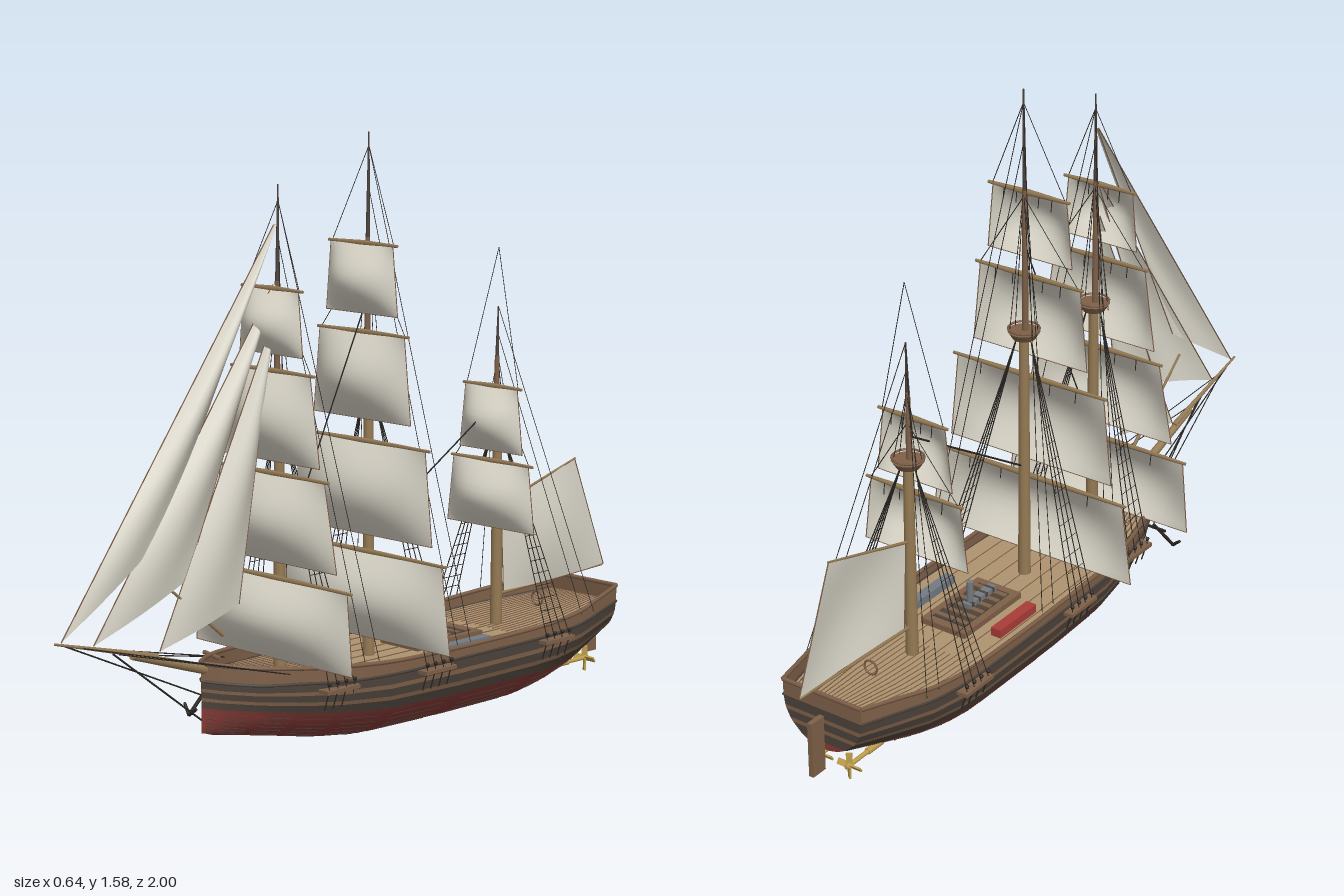
import * as THREE from 'three';
import { mergeGeometries, toCreasedNormals } from 'three/addons/utils/BufferGeometryUtils.js';

const mat = (name, color, side = THREE.FrontSide) => {
  const m = new THREE.MeshStandardMaterial({ color, side });
  m.name = name;
  return m;
};
const V = (x, y, z) => new THREE.Vector3(x, y, z);
const lerp = THREE.MathUtils.lerp;

// Surface from a rule p(u, v, row), with u and v running from 0 to 1
function grid(nu, nv, p) {
  const pos = [], idx = [];
  for (let i = 0; i <= nu; i++) for (let j = 0; j <= nv; j++) pos.push(...p(i / nu, j / nv, i));
  for (let i = 0; i < nu; i++) for (let j = 0; j < nv; j++) {
    const a = i * (nv + 1) + j, b = a + nv + 1;
    idx.push(a, b, a + 1, b, b + 1, a + 1);
  }
  const g = new THREE.BufferGeometry();
  g.setAttribute('position', new THREE.Float32BufferAttribute(pos, 3));
  g.setIndex(idx);
  g.computeVertexNormals();
  return g;
}

// Tapered round rod between two points
function rod(a, b, r0, r1 = r0, sides = 4) {
  const d = b.clone().sub(a);
  const g = new THREE.CylinderGeometry(r1, r0, d.length(), sides);
  g.applyQuaternion(new THREE.Quaternion().setFromUnitVectors(V(0, 1, 0), d.normalize()));
  return g.translate((a.x + b.x) / 2, (a.y + b.y) / 2, (a.z + b.z) / 2);
}

// Hull stations: z, keel, paint line, deck line, sheer, half width
const ST = [
  [0.535, 0.10, 0.165, 0.235, 0.28, 0], [0.53, 0.10, 0.165, 0.235, 0.28, 0.006],
  [0.50, 0.09, 0.16, 0.23, 0.275, 0.038], [0.42, 0.075, 0.15, 0.22, 0.265, 0.098],
  [0.32, 0.055, 0.135, 0.215, 0.255, 0.142], [0.2, 0.03, 0.12, 0.205, 0.245, 0.174],
  [0.05, 0.01, 0.105, 0.2, 0.235, 0.193], [-0.2, 0.005, 0.098, 0.2, 0.23, 0.198],
  [-0.5, 0.005, 0.098, 0.2, 0.232, 0.198], [-0.6, 0.02, 0.1, 0.203, 0.237, 0.196],
  [-0.7, 0.045, 0.105, 0.208, 0.245, 0.184], [-0.8, 0.075, 0.115, 0.215, 0.257, 0.155],
  [-0.915, 0.11, 0.13, 0.225, 0.27, 0.122], [-0.915, 0.11, 0.13, 0.225, 0.27, 0],
];
const halfAt = (s, y) => {
  const u = Math.min((y - s[1]) / (0.75 * (s[4] - s[1])), 1);
  return s[5] * Math.sqrt(Math.max(0, 1 - (1 - u) ** 2));
};

export function createModel() {
  const ship = new THREE.Group();
  ship.name = 'sailingShip';
  const D = THREE.DoubleSide;
  const sailM = mat('canvas', 0xd8d4c7, D), redM = mat('hullRed', 0x863a36, D), darkM = mat('darkTimber', 0x4c423a, D),
    brownM = mat('brownTimber', 0x7e6049, D), deckM = mat('deckPlank', 0xae936f, D), sparM = mat('spar', 0x957a54),
    ropeM = mat('rope', 0x2a2623), goldM = mat('brass', 0xc0a04c), grayM = mat('grayPaint', 0x747a82), boxM = mat('brightRed', 0xa83c38);
  const add = (name, geo, m) => {
    const mesh = new THREE.Mesh(geo, m);
    mesh.name = name;
    ship.add(mesh);
    return mesh;
  };
  const box = (name, m, w, h, d, x, y, z) => add(name, new THREE.BoxGeometry(w, h, d).translate(x, y, z), m);
  const ropes = [], spars = [], deckSeams = [], hullSeams = [], sailEdges = [];
  const rope = (a, b, r = 0.0014) => ropes.push(rod(a, b, r));

  // Hull bands on both sides, transom included: station columns, then start and end between them
  const n = ST.length - 1;
  const bands = [['bottom', 1, 0, 1, 9, redM], ['lowerStrake', 2, 0, 0.26, 1, darkM], ['lowerWale', 2, 0.26, 0.38, 1, brownM],
    ['middleStrake', 2, 0.38, 0.6, 1, darkM], ['middleWale', 2, 0.6, 0.72, 1, brownM], ['upperStrake', 2, 0.72, 1, 1, darkM],
    ['bulwark', 3, 0, 1, 2, brownM]];
  const hullPoint = (s, t, y) => V(s * halfAt(t, y), y, t[0]);
  for (const [name, col, f0, f1, rows, m] of bands)
    for (const s of [1, -1])
      add(name, toCreasedNormals(grid(n, rows, (u, v, i) => {
        const t = ST[s > 0 ? i : n - i], f = lerp(f0, f1, v);
        return hullPoint(s, t, lerp(t[col], t[col + 1], col === 1 ? f * f : f)).toArray();
      }), 0.6), m);

  // Rail cap, gunwale line and plank seams follow the hull
  for (const s of [1, -1]) {
    for (const [name, col, r, m] of [['rail', 4, 0.006, brownM], ['upperWale', 3, 0.004, darkM]]) {
      const pts = ST.slice(1, n).map(q => hullPoint(s, q, q[col]));
      add(name, new THREE.TubeGeometry(new THREE.CatmullRomCurve3(pts), 50, r, 5), m);
    }
    for (let k = 3; k < 9; k++) for (let i = 1; i < n - 1; i++) {
      const [a, b] = [ST[i], ST[i + 1]].map(q => hullPoint(s, q, lerp(q[1], q[2], (k / 9) ** 2)));
      hullSeams.push(rod(a.clone().lerp(b, 0.12), a.clone().lerp(b, 0.88), 0.0013));
    }
  }
  add('hullSeams', mergeGeometries(hullSeams), darkM);
  add('sternRail', rod(V(-0.122, 0.27, -0.915), V(0.122, 0.27, -0.915), 0.006, 0.006, 6), brownM);

  // Planked deck
  add('deck', grid(n, 2, (u, v, i) => [(1 - v * 2) * halfAt(ST[i], ST[i][3]), ST[i][3], ST[i][0]]), deckM);
  for (let k = -11; k <= 11; k++) for (let i = 1; i < n - 1; i++) {
    if ((i === 6 || i === 7) && k % 3) continue;
    const [a, b] = [ST[i], ST[i + 1]].map(q => V(k / 12 * halfAt(q, q[3]), q[3] + 0.001, q[0]));
    deckSeams.push(rod(a, b, 0.0017));
  }
  add('deckSeams', mergeGeometries(deckSeams), brownM);

  // Keel, rudder and twin screws
  box('keel', darkM, 0.012, 0.012, 0.55, 0, 0.006, -0.24);
  box('rudder', brownM, 0.014, 0.155, 0.048, 0, 0.133, -0.942);
  for (const s of [1, -1]) {
    const x = s * 0.045;
    add('screwShaft', rod(V(x, 0.057, -0.66), V(x, 0.055, -0.885), 0.006, 0.006, 8), goldM);
    add('screwBearing', rod(V(x, 0.056, -0.74), V(x, 0.056, -0.8), 0.009, 0.009, 8), goldM);
    box('shaftStrut', darkM, 0.006, 0.06, 0.012, x, 0.06, -0.685);
    for (let k = 0; k < 4; k++)
      add('screwBlade', new THREE.BoxGeometry(0.016, 0.036, 0.005).rotateY(0.6).translate(0, 0.018, 0)
        .rotateZ(k * Math.PI / 2).translate(x, 0.055, -0.872), goldM);
  }

  // Deck fittings
  box('hatchFrame', brownM, 0.14, 0.016, 0.25, 0, 0.208, -0.295);
  box('hatchWell', darkM, 0.1, 0.003, 0.2, 0, 0.217, -0.295);
  for (let i = 0; i < 6; i++) box('hatchSlat', brownM, 0.1, 0.004, 0.014, 0, 0.219, -0.38 + i * 0.034);
  add('funnel', rod(V(0, 0.2, -0.3), V(0, 0.29, -0.3), 0.009, 0.009, 10), grayM);
  box('engineCover', grayM, 0.026, 0.02, 0.12, 0, 0.222, -0.26);
  for (let i = 0; i < 4; i++) box('engineStrap', darkM, 0.028, 0.021, 0.008, 0, 0.222, -0.305 + i * 0.03);
  box('redLocker', boxM, 0.03, 0.024, 0.16, -0.128, 0.211, -0.285);
  box('grayLocker', grayM, 0.028, 0.022, 0.165, 0.132, 0.211, -0.29);
  add('capstan', new THREE.CylinderGeometry(0.018, 0.014, 0.035, 10).translate(0, 0.222, 0.1), brownM);
  add('wheel', new THREE.TorusGeometry(0.02, 0.003, 5, 14).translate(0, 0.245, -0.72), brownM);

  // Square sail that fills forward, its yard and edge ropes
  const squareSail = (z, y0, y1, bot, top) => {
    add('squareSail', grid(14, 10, (u, v) => {
      const c = u * 2 - 1;
      return [c * lerp(bot, top, v), lerp(y0, y1, v), z + 0.062 * (1 - c * c) * Math.sin(Math.PI * v)];
    }), sailM);
    for (const s of [1, -1]) {
      spars.push(rod(V(0, y1 + 0.003, z - 0.004), V(s * (top + 0.012), y1 + 0.003, z - 0.004), 0.008, 0.004, 6));
      sailEdges.push(rod(V(s * bot, y0, z), V(s * top, y1, z), 0.0016));
      for (const f of [0.3, 0.65]) rope(V(s * top * f, y1, z - 0.008), V(s * top * f, y1 - 0.03, z - 0.012));
    }
    sailEdges.push(rod(V(-bot, y0, z), V(bot, y0, z), 0.0012));
  };

  // Masts: z, fighting top, mast head, rope apex, side half width, channel z offset, sails [y0, y1, bottom, top]
  const masts = [
    ['fore', 0.265, 0.855, 1.46, 1.42, 0.17, -0.03, [[0.253, 0.459, 0.29, 0.272], [0.505, 0.728, 0.235, 0.192], [0.764, 0.99, 0.175, 0.142], [1.036, 1.198, 0.115, 0.1]]],
    ['main', -0.055, 0.9, 1.575, 1.54, 0.205, -0.03, [[0.256, 0.481, 0.32, 0.29], [0.53, 0.773, 0.255, 0.23], [0.835, 1.058, 0.178, 0.155], [1.11, 1.288, 0.13, 0.113]]],
    ['mizzen', -0.55, 0.745, 1.08, 1.24, 0.205, 0, [[0.476, 0.656, 0.16, 0.138], [0.688, 0.862, 0.115, 0.095]]],
  ];
  for (const [name, z, topY, head, apex, side, off, sails] of masts) {
    add(name + 'LowerMast', rod(V(0, 0.19, z), V(0, topY, z), 0.017, 0.013, 12), sparM);
    const mid = lerp(topY, head, 0.6);
    add(name + 'Topmast', rod(V(0, topY, z + 0.006), V(0, mid, z + 0.004), 0.009, 0.006, 8), brownM);
    add(name + 'MastHead', rod(V(0, mid - 0.02, z + 0.004), V(0, head, z), 0.006, 0.002, 6), darkM);
    add(name + 'Top', new THREE.CylinderGeometry(0.043, 0.03, 0.02, 16).translate(0, topY + 0.005, z), brownM);
    add(name + 'TopRail', new THREE.TorusGeometry(0.041, 0.003, 5, 18).rotateX(Math.PI / 2).translate(0, topY + 0.022, z), brownM);
    for (const q of sails) squareSail(z + 0.026, ...q);

    const topSail = sails[sails.length - 1], next = sails[sails.length - 2];
    for (const s of [1, -1]) {
      // Channel with shrouds and ratlines
      box(name + 'Channel', brownM, 0.04, 0.01, 0.115, s * side, 0.19, z + off - 0.015);
      const foot = k => V(s * (side + 0.012), 0.195, z + off + 0.03 - k * 0.03);
      const peak = V(s * 0.022, topY - 0.01, z);
      for (let k = 0; k < 4; k++) {
        rope(foot(k), peak, 0.0017);
        rope(foot(k), V(s * (side - 0.006), 0.14, foot(k).z), 0.002);
        add('deadeye', new THREE.SphereGeometry(0.006, 6, 4).translate(...foot(k).add(V(0, 0.015, 0)).toArray()), ropeM);
      }
      for (let t = 0.08; t < 0.9; t += 0.06) rope(foot(0).lerp(peak, t), foot(3).lerp(peak, t), 0.001);
      for (const k of [-1, 1]) rope(V(s * 0.036, topY + 0.01, z + k * 0.012), V(0, mid, z), 0.0012);
      // Backstays and yard lifts
      for (const [dz, f] of [[-0.14, 0.93], [-0.19, 1]])
        rope(V(s * Math.min(side, 0.19), 0.235, z + dz), V(0, Math.min(head, apex) * f, z), 0.0012);
      rope(V(s * topSail[3], topSail[1], z + 0.022), V(0, apex, z), 0.0012);
      rope(V(s * next[3], next[1], z + 0.022), V(0, topSail[1], z), 0.0012);
    }
  }

  // Bowsprit and its stays
  add('bowsprit', rod(V(0, 0.225, 0.4), V(0, 0.34, 0.76), 0.015, 0.01, 10), sparM);
  add('jibBoom', rod(V(0, 0.325, 0.68), V(0, 0.41, 1), 0.008, 0.003, 8), sparM);
  add('staysailBoom', rod(V(0, 0.34, 0.46), V(0, 0.54, 0.7), 0.005, 0.003, 6), sparM);
  rope(V(0, 0.355, 0.82), V(0, 0.135, 0.535), 0.0025);
  rope(V(0, 0.405, 0.98), V(0, 0.2, 0.535), 0.002);
  for (const s of [1, -1]) for (const [z, y] of [[0.93, 0.39], [0.8, 0.35]])
    rope(V(0, y, z), V(s * 0.13, 0.24, 0.34), 0.0015);

  // Fore-and-aft sails with a slight belly to one side: corners as [z, y]
  const flatSail = (name, a, b, c, d, belly) => {
    add(name, grid(10, 14, (u, v) => [
      belly * Math.sin(Math.PI * u) * Math.sin(Math.PI * (0.08 + 0.84 * v)),
      lerp(lerp(a[1], b[1], u), lerp(d[1], c[1], u), v),
      lerp(lerp(a[0], b[0], u), lerp(d[0], c[0], u), v)]), sailM);
    const p = [a, b, c, d].map(q => V(0, q[1], q[0]));
    for (const [i, j] of [[1, 2], [3, 0]]) sailEdges.push(rod(p[i], p[j], 0.002));
  };
  flatSail('outerJib', [0.98, 0.41], [0.66, 0.62], [0.275, 1.36], [0.28, 1.36], 0.035);
  flatSail('middleJib', [0.88, 0.385], [0.58, 0.5], [0.28, 1.21], [0.285, 1.21], 0.035);
  flatSail('innerJib', [0.67, 0.335], [0.405, 0.412], [0.285, 1.11], [0.29, 1.11], 0.035);
  flatSail('spanker', [-0.58, 0.285], [-1, 0.3], [-0.87, 0.622], [-0.567, 0.53], 0.025);
  spars.push(rod(V(0, 0.53, -0.56), V(0, 0.622, -0.873), 0.005, 0.003, 6));
  spars.push(rod(V(0, 0.283, -0.56), V(0, 0.299, -0.995), 0.005, 0.003, 6));

  // Stays between masts
  rope(V(0, 1.16, -0.055), V(0, 0.52, 0.25), 0.0025);
  rope(V(0, 0.82, -0.54), V(0, 0.52, -0.055), 0.0025);

  // Anchor slung at the bow
  const A = (x, y, z) => V(-0.155 + x, y, 0.42 + z);
  const anchor = [rod(A(0, 0.1, 0.02), A(0.02, 0.19, -0.05), 0.005, 0.005, 6), rod(A(-0.012, 0.175, -0.04), A(0.045, 0.175, -0.04), 0.004, 0.004, 6),
    rod(A(0, 0.1, 0.02), A(-0.028, 0.125, 0.01), 0.005, 0.004, 6), rod(A(0, 0.1, 0.02), A(0.028, 0.12, 0.02), 0.005, 0.004, 6)];
  add('anchor', mergeGeometries(anchor), ropeM);
  rope(A(0.02, 0.19, -0.05), V(-0.13, 0.26, 0.4), 0.002);
  add('cathead', rod(V(-0.08, 0.255, 0.4), V(-0.14, 0.262, 0.4), 0.006, 0.006, 6), brownM);

  add('yards', mergeGeometries(spars), sparM);
  add('sailEdges', mergeGeometries(sailEdges), brownM);
  add('rigging', mergeGeometries(ropes), ropeM);
  return ship;
}
